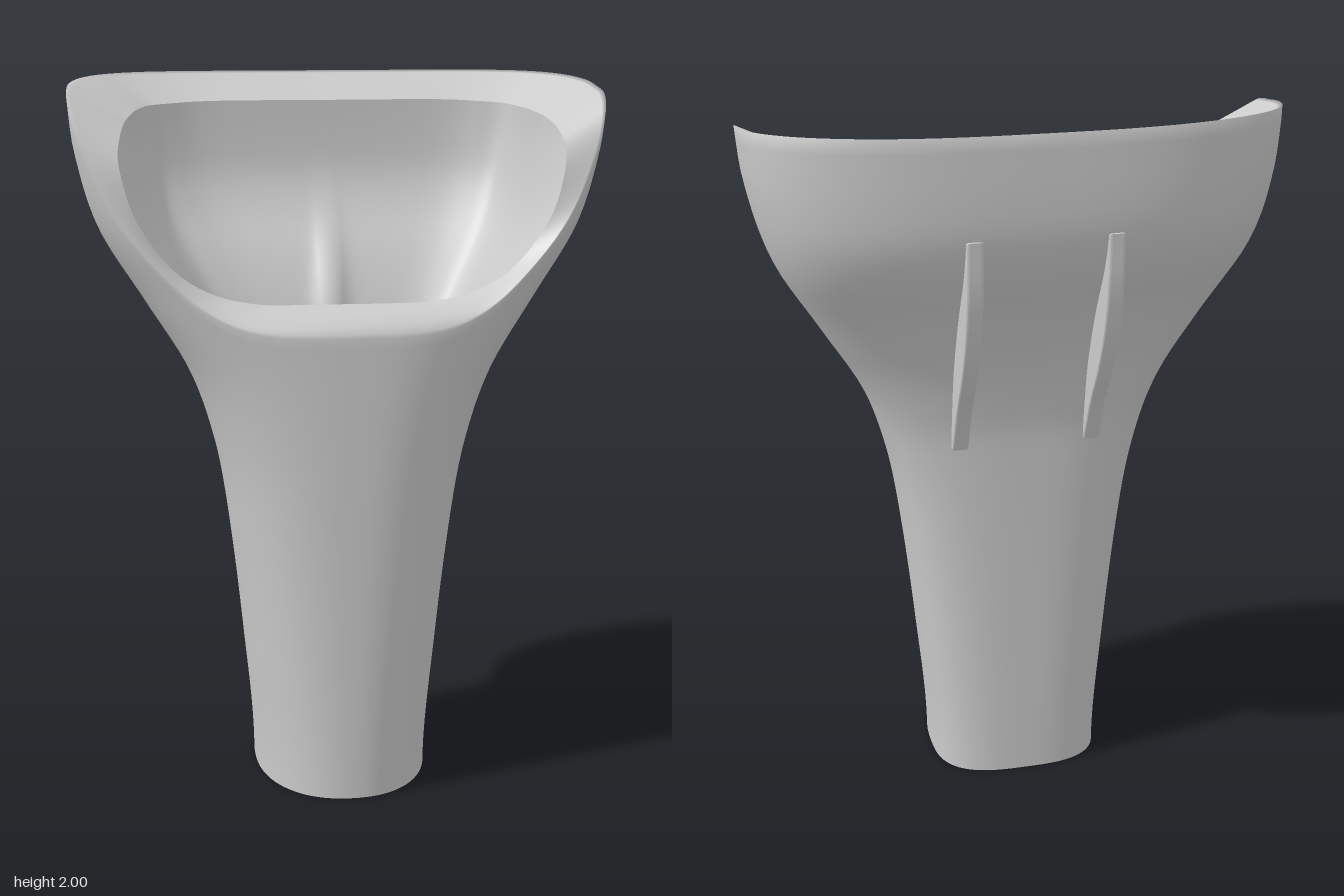
import * as THREE from 'three';

const COLS = 200;
const material = new THREE.MeshStandardMaterial({ color: 0xcccccc, side: THREE.DoubleSide });

// Smooth interpolation through rows of [position, ...values]
function track(keys) {
  const slope = (i, c) => {
    const a = keys[Math.max(i - 1, 0)], b = keys[Math.min(i + 1, keys.length - 1)];
    return i === 0 || i === keys.length - 1 ? 0 : (b[c] - a[c]) / (b[0] - a[0]);
  };
  return (t, c = 1) => {
    let i = 0;
    while (i < keys.length - 2 && t > keys[i + 1][0]) i++;
    const a = keys[i], b = keys[i + 1], d = b[0] - a[0];
    const s = THREE.MathUtils.clamp((t - a[0]) / d, 0, 1), s2 = s * s, s3 = s2 * s;
    return a[c] * (2 * s3 - 3 * s2 + 1) + b[c] * (3 * s2 - 2 * s3)
      + d * (slope(i, c) * (s3 - 2 * s2 + s) + slope(i + 1, c) * (s3 - s2));
  };
}

// Body profile by height: half width and back depth
const halfWidth = track([[0, 0.25], [0.4, 0.28], [0.8, 0.325], [1, 0.362], [1.2, 0.43],
  [1.4, 0.55], [1.6, 0.67], [1.8, 0.728], [1.95, 0.745], [2, 0.746]]);
const backZ = track([[0, -0.17], [1.08, -0.17], [1.2, -0.185], [1.3, -0.205], [1.4, -0.24],
  [1.5, -0.285], [1.6, -0.34], [1.7, -0.378], [1.8, -0.388], [2, -0.388]]);
const FRONT_Z = 0.39;

// Rim by angle (0 = back, 180 = front): outer height, and inner edge x, y, z
const rimHeight = track([[0, 2], [45, 2], [75, 1.987], [90, 1.965], [102, 1.9], [110, 1.8],
  [119, 1.65], [130, 1.5], [138, 1.42], [150, 1.36], [163, 1.335], [180, 1.33]]);
const innerRim = track([[0, 0, 1.92, -0.26], [20, 0.32, 1.92, -0.255], [40, 0.46, 1.915, -0.225],
  [54, 0.53, 1.91, -0.18], [90, 0.585, 1.89, 0.05], [102, 0.605, 1.85, 0.17], [110, 0.61, 1.78, 0.22],
  [119, 0.57, 1.64, 0.245], [130, 0.47, 1.5, 0.25], [138, 0.37, 1.435, 0.25],
  [150, 0.25, 1.405, 0.25], [163, 0.14, 1.4, 0.25], [180, 0, 1.4, 0.25]]);

// Rounded cross-section at height y, shrunk by the wall thickness
function section(deg, side, y, wall, backPower, frontPower) {
  const a = THREE.MathUtils.degToRad(deg), c = Math.cos(a), s = Math.abs(Math.sin(a));
  const e = 2 / (c > 0 ? backPower : frontPower);
  const zb = backZ(y) + wall * 0.93, zf = FRONT_Z - wall;
  const mid = 0.05 + wall * 0.3;
  const reach = Math.pow(Math.abs(c), e);
  return new THREE.Vector3(side * (halfWidth(y) - wall) * Math.pow(s, e), y,
    c > 0 ? mid + (zb - mid) * reach : mid + (zf - mid) * reach);
}

const outerPoint = (deg, side, y) => section(deg, side, y, 0, 3, 2.2 + 0.4 * y);

function innerPoint(deg, side, y) {
  const p = section(deg, side, y, 0.14, 3.5, 3.5);
  // Soft ridge up the middle of the cavity's back wall
  if (deg < 90) p.z += 0.04 * Math.exp(-((p.x / 0.055) ** 2) - ((y - 1.35) / 0.2) ** 2);
  return p;
}

const rimInnerEdge = (deg, side) =>
  new THREE.Vector3(side * innerRim(deg, 1), innerRim(deg, 2), innerRim(deg, 3));

// Closed loft: point(deg, side, v) for v from 0 to 1
function loft(name, rows, point) {
  const pos = [], index = [];
  for (let r = 0; r <= rows; r++) {
    for (let i = 0; i < COLS; i++) {
      const turn = (i / COLS) * 360;
      const deg = turn > 180 ? 360 - turn : turn;
      pos.push(...point(deg, turn > 180 ? -1 : 1, r / rows).toArray());
    }
  }
  for (let r = 0; r < rows; r++) {
    for (let i = 0; i < COLS; i++) {
      const a = r * COLS + i, b = r * COLS + (i + 1) % COLS;
      index.push(a, a + COLS, b, b, a + COLS, b + COLS);
    }
  }
  const g = new THREE.BufferGeometry();
  g.setAttribute('position', new THREE.Float32BufferAttribute(pos, 3));
  g.setIndex(index);
  g.computeVertexNormals();
  const mesh = new THREE.Mesh(g, material);
  mesh.name = name;
  return mesh;
}

export function createModel() {
  const group = new THREE.Group();
  group.name = 'flaredHolder';

  // Outer wall, rolling over the rim to its inner edge
  const SPLIT = 0.8;
  group.add(loft('outerWallAndRim', 60, (deg, side, v) => {
    const top = outerPoint(deg, side, rimHeight(deg));
    if (v <= SPLIT) return outerPoint(deg, side, rimHeight(deg) * v / SPLIT);
    const edge = rimInnerEdge(deg, side);
    const control = top.clone().lerp(edge, 0.5);
    const corner = new THREE.Vector3(top.x, edge.y, top.z);
    control.lerp(corner, 0.75 * THREE.MathUtils.smoothstep(deg, 120, 155));
    return new THREE.QuadraticBezierCurve3(top, control, edge).getPoint((v - SPLIT) / (1 - SPLIT));
  }));

  // Cavity from the rim down through the neck
  group.add(loft('innerWall', 60, (deg, side, v) => {
    const edge = rimInnerEdge(deg, side);
    const shift = edge.clone().sub(innerPoint(deg, side, edge.y));
    return innerPoint(deg, side, edge.y * (1 - v)).addScaledVector(shift, (1 - v) ** 4);
  }));

  // Flat ring closing the wall at the foot
  group.add(loft('footRing', 1, (deg, side, v) =>
    v ? outerPoint(deg, side, 0) : innerPoint(deg, side, 0)));

  // Pair of thin fins down the back
  const fin = new THREE.Shape();
  fin.moveTo(0.14, 1.06);
  fin.lineTo(0.165, 1.07);
  fin.splineThru([[0.225, 1.2], [0.285, 1.3], [0.332, 1.4], [0.362, 1.5], [0.378, 1.6], [0.382, 1.72]]
    .map(([d, y]) => new THREE.Vector2(d, y)));
  fin.lineTo(0.32, 1.72);
  fin.lineTo(0.22, 1.42);
  fin.closePath();
  const finGeometry = new THREE.ExtrudeGeometry(fin, {
    depth: 0.03, bevelThickness: 0.008, bevelSize: 0.006, bevelSegments: 3, curveSegments: 30,
  }).translate(0, 0, -0.015).rotateY(Math.PI / 2);
  for (const side of [-1, 1]) {
    const mesh = new THREE.Mesh(finGeometry, material);
    mesh.name = side > 0 ? 'leftBackFin' : 'rightBackFin';
    mesh.position.x = side * 0.19;
    group.add(mesh);
  }
  return group;
}
